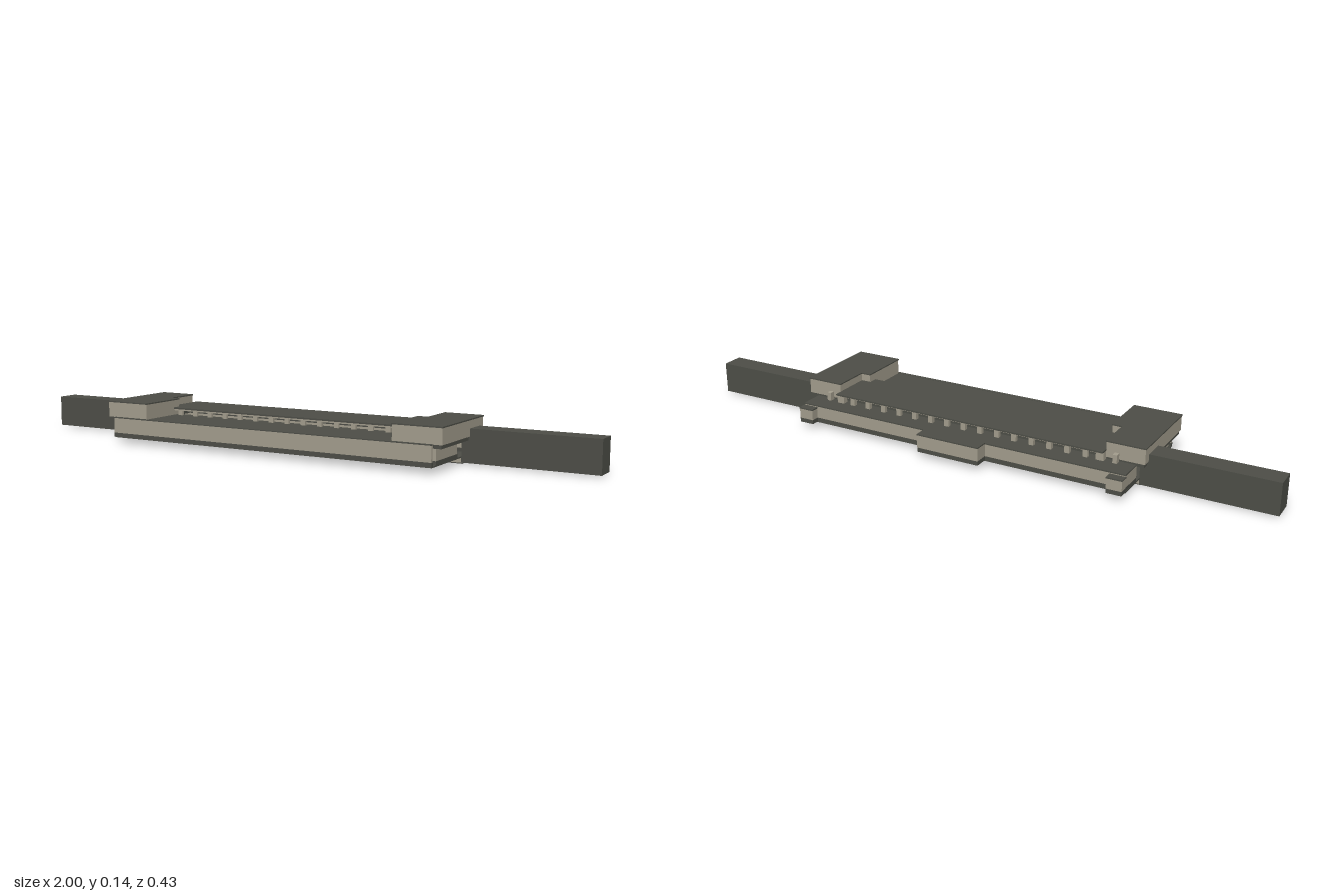
import * as THREE from 'three';

export function createModel() {
  const model = new THREE.Group();
  const make = (name, color) => {
    const m = new THREE.MeshStandardMaterial({ color });
    m.name = name;
    return m;
  };
  const slate = make('dark slate', 0x4d4e47);
  const stone = make('pale stone', 0xa39d8d);

  // Box given by its limits on each axis
  const box = (name, mat, x0, x1, y0, y1, z0, z1) => {
    const mesh = new THREE.Mesh(new THREE.BoxGeometry(x1 - x0, y1 - y0, z1 - z0), mat);
    mesh.position.set((x0 + x1) / 2, (y0 + y1) / 2, (z0 + z1) / 2);
    mesh.name = name;
    model.add(mesh);
    return mesh;
  };
  // Same box on the left (+x) and right (-x)
  const pair = (name, mat, x0, x1, ...rest) => {
    box(name + 'Left', mat, x0, x1, ...rest);
    box(name + 'Right', mat, -x1, -x0, ...rest);
  };
  // Horizontal slab from an outline of [x, z] points
  const slab = (name, mat, points, y0, y1) => {
    const shape = new THREE.Shape(points.map(([x, z]) => new THREE.Vector2(x, -z)));
    const geo = new THREE.ExtrudeGeometry(shape, { depth: y1 - y0, bevelEnabled: false });
    geo.rotateX(-Math.PI / 2);
    const mesh = new THREE.Mesh(geo, mat);
    mesh.position.y = y0;
    mesh.name = name;
    model.add(mesh);
  };

  // Floor and track bed
  box('floor', slate, -0.575, 0.575, 0.018, 0.022, -0.168, 0.21);
  box('trackBed', stone, -0.578, 0.578, 0.003, 0.018, -0.058, -0.001);
  box('trackBedBase', slate, -0.578, 0.578, 0, 0.003, -0.058, -0.001);
  pair('trackFoot', slate, 0.382, 0.41, 0.001, 0.018, -0.003, 0.004);

  // Long tunnel arms
  pair('tunnelArm', slate, 0.578, 1, 0.005, 0.109, -0.066, 0.007);

  // Front hall: plinth, walls, recessed corners, facade and low roof
  box('frontPlinth', slate, -0.576, 0.576, 0.02, 0.034, 0.032, 0.182);
  box('frontHall', stone, -0.575, 0.575, 0.034, 0.073, 0.032, 0.182);
  box('frontRecess', slate, -0.562, 0.562, 0.02, 0.073, 0.182, 0.207);
  box('facadePlinth', slate, -0.576, 0.576, 0.02, 0.034, 0.205, 0.2145);
  box('facade', stone, -0.575, 0.575, 0.034, 0.083, 0.205, 0.214);
  box('frontRoof', slate, -0.575, 0.575, 0.073, 0.085, 0.03, 0.205);
  box('facadeCoping', slate, -0.576, 0.576, 0.083, 0.086, 0.203, 0.215);

  // Rear hall with central projection and corner blocks
  const rear = (name, x0, x1, z0, z1, top) => {
    box(name + 'Plinth', slate, x0, x1, 0.02, 0.034, z0, z1);
    box(name + 'Wall', stone, x0, x1, 0.034, top - 0.004, z0, z1);
    box(name + 'Roof', slate, x0 - 0.001, x1 + 0.001, top - 0.004, top, z0 - 0.001, z1);
  };
  rear('rearHall', -0.574, 0.574, -0.168, -0.082, 0.078);
  rear('rearProjection', -0.11, 0.106, -0.214, -0.168, 0.08);
  rear('rearCornerLeft', 0.525, 0.575, -0.195, -0.166, 0.071);
  rear('rearCornerRight', -0.575, -0.525, -0.195, -0.166, 0.071);

  // Raised end pavilions, stepped on the inner side
  for (const [side, s] of [['Left', 1], ['Right', -1]]) {
    const outline = (g) => [
      [s * (0.446 - g), 0.205 + g], [s * (0.604 + g), 0.205 + g],
      [s * (0.604 + g), -0.094 - g], [s * (0.48 - g), -0.094 - g],
      [s * (0.48 - g), 0.03 - g], [s * (0.446 - g), 0.03 - g],
    ];
    slab('pavilionBase' + side, slate, outline(-0.004), 0.073, 0.085);
    slab('pavilionWall' + side, stone, outline(0), 0.085, 0.134);
    slab('pavilionRoof' + side, slate, outline(0.002), 0.134, 0.138);
  }

  // Raised central roof carried on two rows of small posts
  slab('centralRoof', slate, [
    [-0.445, 0.06], [0.445, 0.06], [0.445, 0.03], [0.48, 0.03],
    [0.48, -0.12], [-0.48, -0.12], [-0.48, 0.03], [-0.445, 0.03],
  ], 0.105, 0.11);
  box('frontBeam', stone, -0.445, 0.445, 0.1, 0.105, 0.05, 0.056);
  box('rearBeam', stone, -0.475, 0.475, 0.1, 0.105, -0.112, -0.106);
  for (let i = 0; i < 15; i++) {
    const x = -0.42 + i * 0.06;
    box('frontPost', stone, x - 0.008, x + 0.008, 0.083, 0.105, 0.048, 0.057);
    box('rearPost', stone, x - 0.008, x + 0.008, 0.076, 0.105, -0.113, -0.1);
  }
  pair('rearEndPier', stone, 0.455, 0.48, 0.076, 0.105, -0.113, -0.094);
  pair('cornerPost', stone, 0.508, 0.522, 0.076, 0.105, -0.112, -0.094);

  return model;
}
